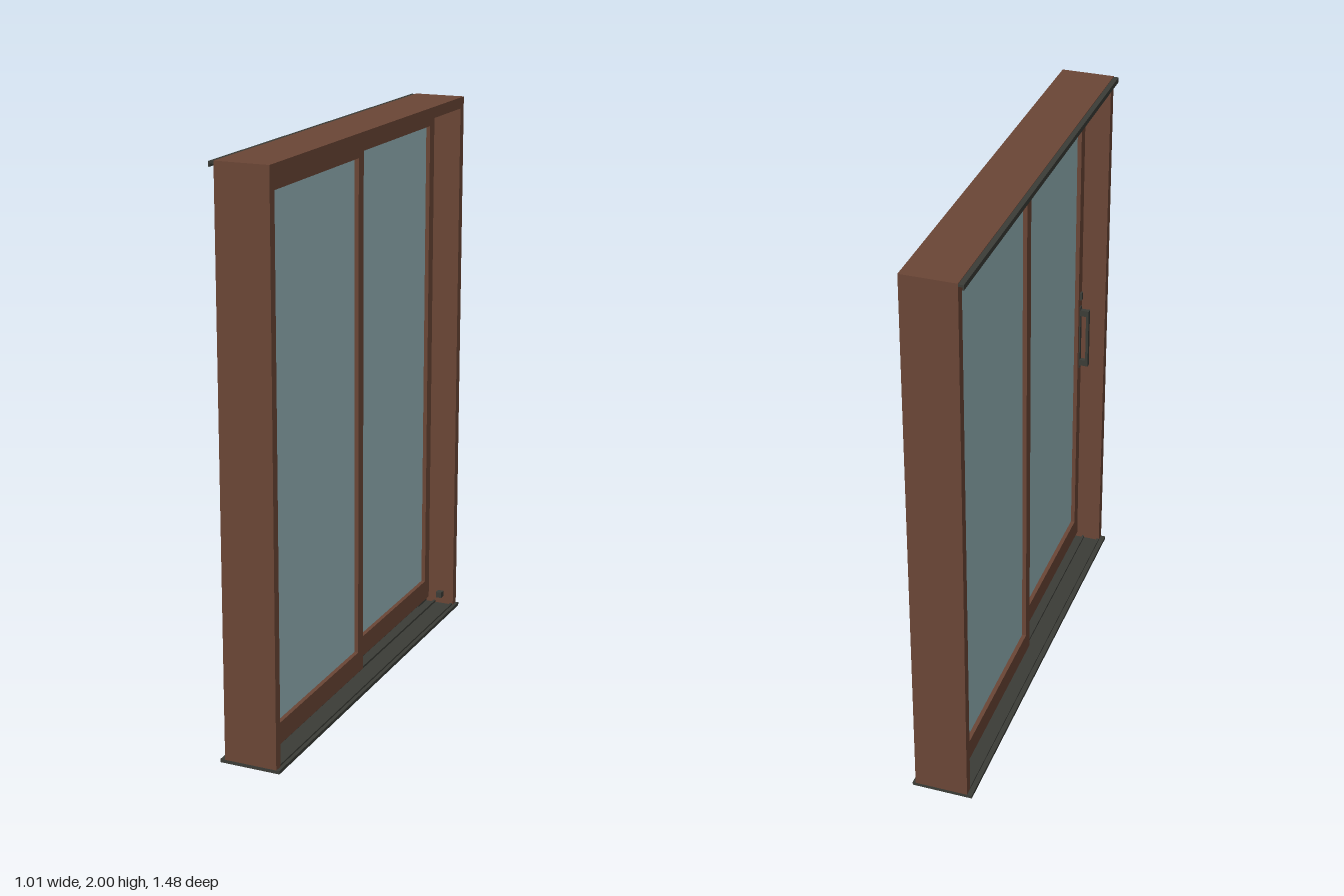
import * as THREE from 'three';

const material = (name, color) => {
  const m = new THREE.MeshStandardMaterial({ color });
  m.name = name;
  return m;
};

export function createModel() {
  const brown = material('brown frame', 0x6b4636);
  const glass = material('blue grey glass', 0x98b7bc);
  const dark = material('dark metal', 0x3b3c37);

  const model = new THREE.Group();
  model.name = 'slidingDoor';

  // Box given by its lower and upper limits on each axis
  const box = (parent, name, mat, [x0, x1], [y0, y1], [z0, z1]) => {
    const mesh = new THREE.Mesh(new THREE.BoxGeometry(x1 - x0, y1 - y0, z1 - z0), mat);
    mesh.position.set((x0 + x1) / 2, (y0 + y1) / 2, (z0 + z1) / 2);
    mesh.name = name;
    parent.add(mesh);
    return mesh;
  };

  // The door is built along x, then turned as a whole
  const door = new THREE.Group();
  door.name = 'door';
  door.rotation.y = 1.027;
  model.add(door);

  const W = 0.797, inner = 0.765, back = -0.091, front = 0.097;

  // Outer frame
  box(door, 'header', brown, [-W, W], [1.96, 2], [back, front]);
  for (const s of [-1, 1]) {
    const xs = s < 0 ? [-W, -inner] : [inner, W];
    box(door, s < 0 ? 'rightJamb' : 'leftJamb', brown, xs, [0.012, 1.96], [back, front]);
  }

  // Sill with two tracks and raised lips
  box(door, 'sill', dark, [-W, W], [0, 0.012], [-0.108, 0.108]);
  for (const z of [-0.025, 0.02])
    box(door, 'track', dark, [-inner, inner], [0.012, 0.02], [z - 0.004, z + 0.004]);
  for (const z of [-0.086, 0.09])
    box(door, 'sillLip', dark, [-inner, inner], [0.012, 0.018], [z - 0.005, z + 0.005]);

  // Drip flashing along the top of the back
  box(door, 'flashing', dark, [-W, W], [1.99, 1.998], [-0.109, back]);
  box(door, 'flashingLip', dark, [-W, W], [1.98, 1.99], [-0.109, -0.105]);

  // Door panel: two stiles, two rails, a pane and corner guides
  const addPanel = (name, x0, x1, z0, z1, outerSide) => {
    const panel = new THREE.Group();
    panel.name = name;
    door.add(panel);
    const stile = 0.041, y0 = 0.03, y1 = 1.948, z = [z0, z1], mid = (z0 + z1) / 2;
    box(panel, 'stile', brown, [x0, x0 + stile], [y0, y1], z);
    box(panel, 'stile', brown, [x1 - stile, x1], [y0, y1], z);
    box(panel, 'topRail', brown, [x0 + stile, x1 - stile], [1.895, y1], z);
    box(panel, 'bottomRail', brown, [x0 + stile, x1 - stile], [y0, 0.108], z);
    box(panel, 'pane', glass, [x0 + stile, x1 - stile], [0.108, 1.895], [mid - 0.005, mid + 0.005]);
    const gx = outerSide < 0 ? [x0, x0 + 0.08] : [x1 - 0.08, x1];
    box(panel, 'topGuide', brown, gx, [y1, 1.96], [mid - 0.01, mid + 0.01]);
    box(panel, 'bottomGuide', dark, gx, [0.012, y0], [mid - 0.01, mid + 0.01]);
    return panel;
  };
  const sliding = addPanel('slidingPanel', -inner, 0.024, 0, 0.04, -1);
  addPanel('fixedPanel', -0.017, inner, -0.045, -0.005, 1);

  // Pull handle and lock on both faces of the sliding panel
  const addHandle = (face, dir) => {
    const handle = new THREE.Group();
    handle.name = 'handle';
    handle.position.set(-0.745, 0, face);
    sliding.add(handle);
    const out = (a, b) => (dir > 0 ? [a, b] : [-b, -a]);
    box(handle, 'backPlate', dark, [-0.008, 0.008], [0.82, 1.085], out(0, 0.004));
    for (const y of [0.845, 1.06])
      box(handle, 'handlePost', dark, [-0.008, 0.008], [y - 0.012, y + 0.012], out(0.004, 0.03));
    box(handle, 'grip', dark, [-0.009, 0.009], [0.833, 1.072], out(0.026, 0.036));
    box(handle, 'lock', dark, [-0.008, 0.008], [1.115, 1.145], out(0, 0.008));
  };
  addHandle(0.04, 1);
  addHandle(0, -1);

  // Bumper at the foot of the far jamb
  box(door, 'bumper', dark, [inner - 0.025, inner], [0.042, 0.064], [0.035, 0.057]);

  return model;
}
